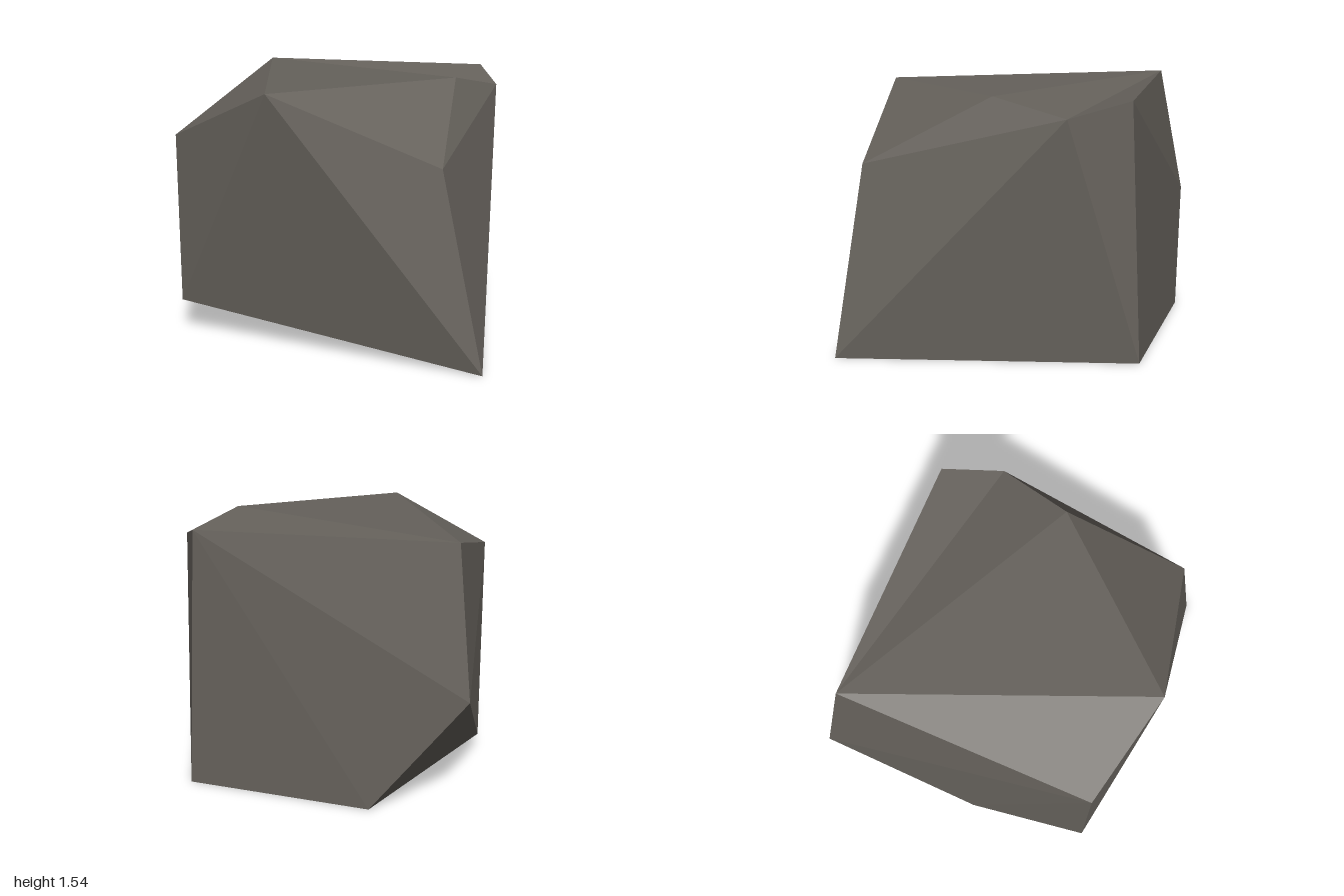
import * as THREE from 'three';

// Corners of the boulder, named by where they sit
const corners = {
  topBackRight: [-0.9, 1.54, -0.77],
  topBackLeft: [0.63, 1.54, -0.77],
  shoulder: [0.8, 1.45, -0.43],
  topMid: [0.63, 1.54, 0.04],
  frontShoulder: [0.73, 1.13, 0.81],
  toe: [1.0, 0, 0.92],
  brow: [-0.25, 1.52, 0.95],
  cheek: [-0.9, 1.23, 0.77],
  chin: [-0.9, 0.2, 0.77],
  underside: [-0.97, 0.12, 0.02],
  backBulge: [-1.0, 0.69, -0.93],
  heelRight: [-0.45, 0, -0.96],
  heelLeft: [0.67, 0, -0.85],
};

// Facets by corner name; winding is fixed below
const facets = [
  // top
  'topBackRight topBackLeft shoulder', 'topBackRight shoulder topMid',
  'topBackRight topMid brow', 'topBackRight brow cheek',
  'topMid brow frontShoulder', 'topMid frontShoulder shoulder',
  // front
  'chin toe brow', 'toe frontShoulder brow', 'chin brow cheek',
  // left flank
  'shoulder frontShoulder toe', 'shoulder toe heelLeft', 'shoulder heelLeft topBackLeft',
  // back
  'topBackLeft heelLeft heelRight', 'topBackLeft heelRight backBulge', 'topBackLeft backBulge topBackRight',
  // right flank
  'topBackRight backBulge cheek', 'backBulge underside cheek',
  'underside chin cheek', 'backBulge heelRight underside',
  // bottom
  'toe heelLeft chin', 'heelLeft heelRight chin', 'chin heelRight underside',
];

export function createModel() {
  const stone = new THREE.MeshStandardMaterial({ color: 0x65615b, flatShading: true });
  stone.name = 'dark stone';

  // Turn every facet outward from the middle of the rock
  const middle = new THREE.Vector3(0, 0.77, 0);
  const points = [];
  for (const facet of facets) {
    const [a, b, c] = facet.split(' ').map((name) => new THREE.Vector3(...corners[name]));
    const normal = new THREE.Triangle(a, b, c).getNormal(new THREE.Vector3());
    const outward = normal.dot(a.clone().sub(middle)) > 0;
    points.push(...(outward ? [a, b, c] : [a, c, b]));
  }
  const geometry = new THREE.BufferGeometry().setFromPoints(points);
  geometry.computeVertexNormals();

  const boulder = new THREE.Mesh(geometry, stone);
  boulder.name = 'boulder';
  const group = new THREE.Group();
  group.name = 'rock';
  group.add(boulder);
  return group;
}
